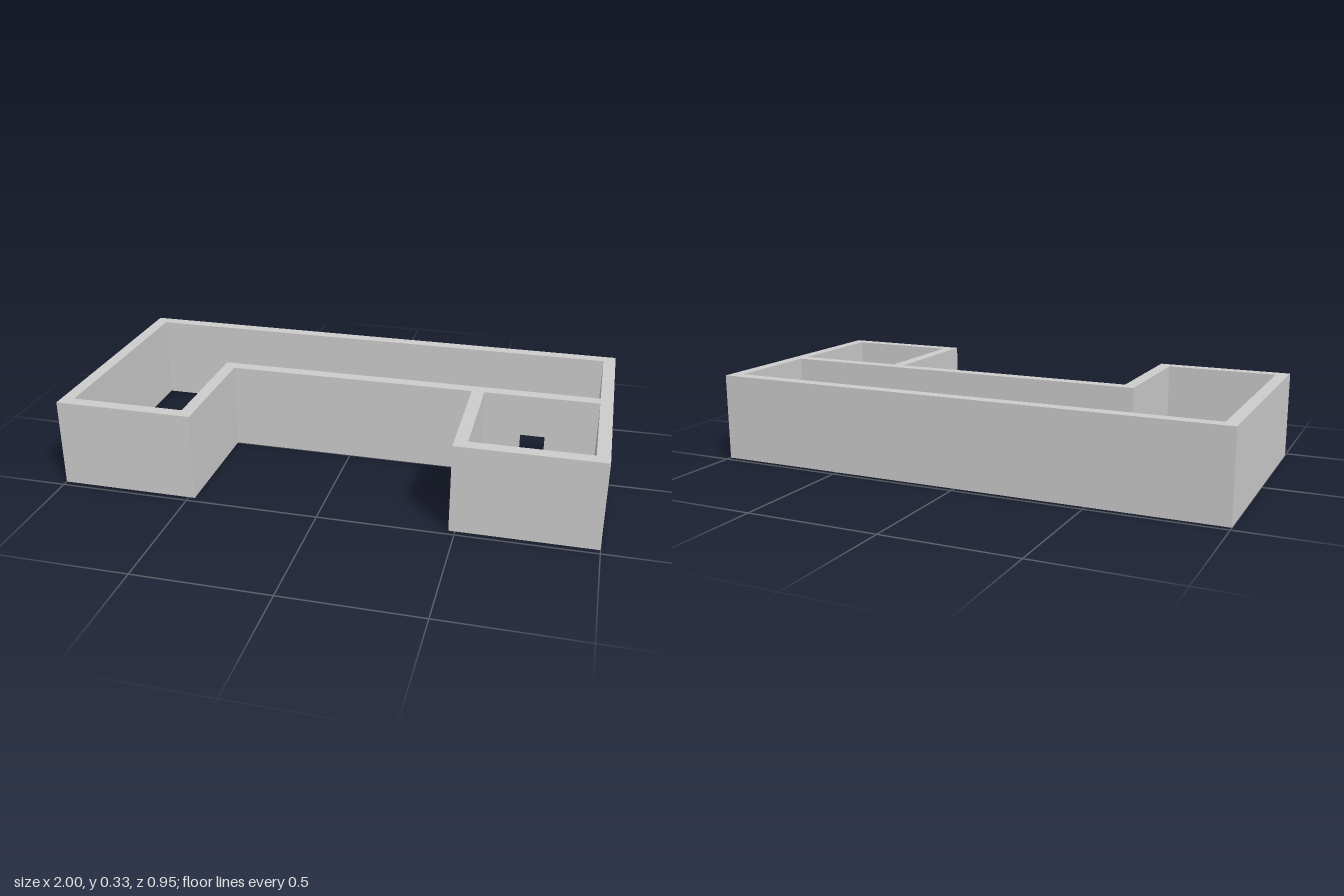
import * as THREE from 'three';

const T = 1 / 21;          // wall thickness, the unit of the plan
const H = 7 * T;           // wall height
const D = 10 * T;          // half depth
const WING = 10 * T;       // x where each wing's inner side starts

// Floor plan of the U-shaped building, moved inward by i (points are x, -z)
function plan(i) {
  return [
    [-1 + i, D - i], [1 - i, D - i], [1 - i, -D + i], [WING + i, -D + i],
    [WING + i, i], [-WING - i, i], [-WING - i, -D + i], [-1 + i, -D + i],
  ].map(([x, y]) => new THREE.Vector2(x, y));
}

export function createModel() {
  const model = new THREE.Group();
  model.name = 'floorPlanWalls';
  const material = new THREE.MeshStandardMaterial({ color: 0xcccccc });

  const add = (name, geometry) => {
    const mesh = new THREE.Mesh(geometry, material);
    mesh.name = name;
    model.add(mesh);
  };

  // Outer walls: a continuous band around the plan, open above and below.
  // The hole runs opposite to the outline so the inner faces look into the rooms.
  const band = new THREE.Shape(plan(0));
  band.holes.push(new THREE.Path(plan(T).reverse()));
  const walls = new THREE.ExtrudeGeometry(band, { depth: H, bevelEnabled: false });
  walls.rotateX(-Math.PI / 2);
  add('outerWalls', walls);

  // Partition closing off the small room, with a low doorway
  const x0 = WING + T, x1 = 1 - T;
  const doorLeft = 14 * T, doorRight = 16 * T, doorTop = 0.172;
  const face = new THREE.Shape([
    [x0, 0], [doorLeft, 0], [doorLeft, doorTop], [doorRight, doorTop],
    [doorRight, 0], [x1, 0], [x1, H], [x0, H],
  ].map(([x, y]) => new THREE.Vector2(x, y)));
  const partition = new THREE.ExtrudeGeometry(face, { depth: T, bevelEnabled: false });
  partition.translate(0, 0, -T);
  add('partitionWithDoorway', partition);

  return model;
}
